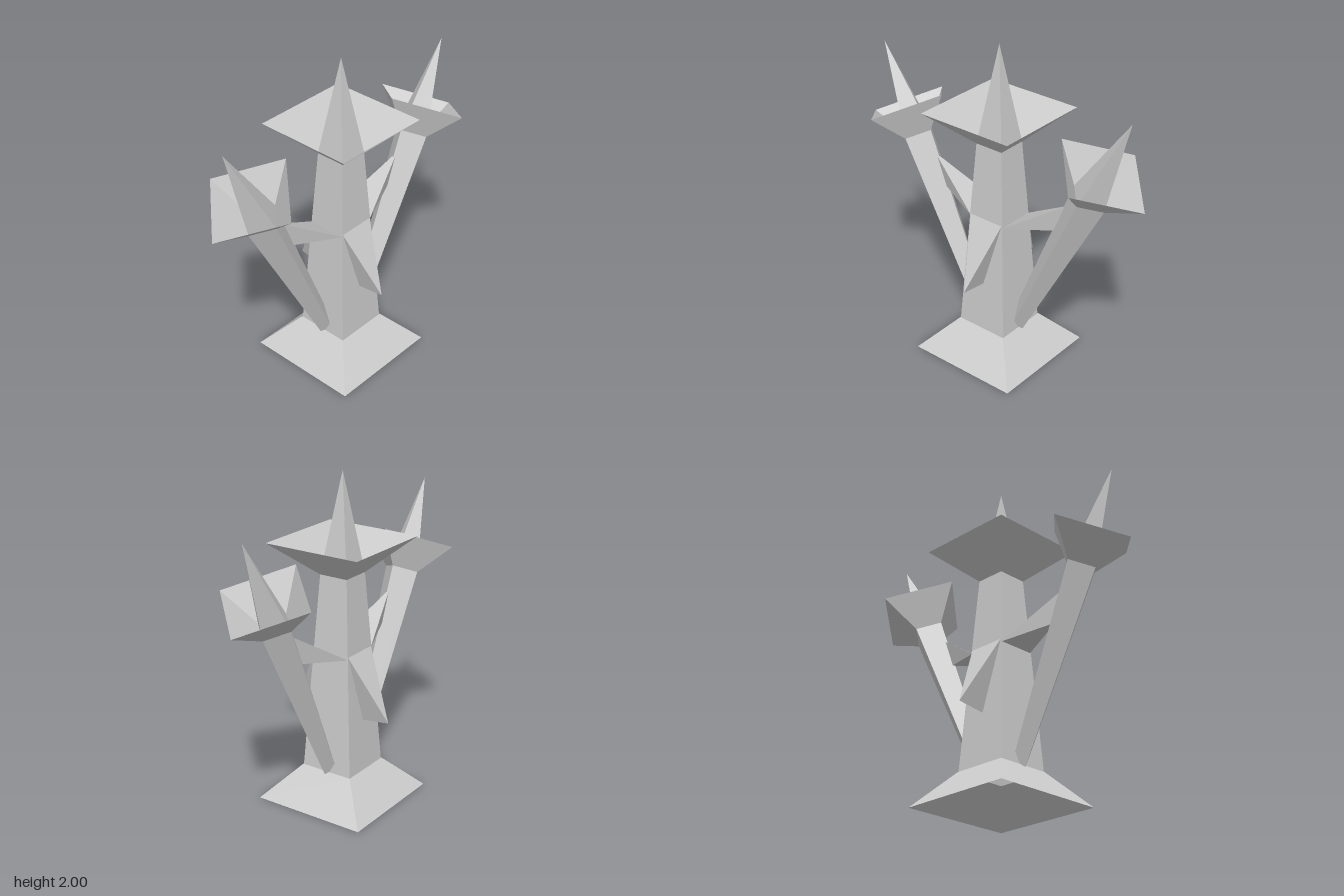
import * as THREE from 'three';

const stone = new THREE.MeshStandardMaterial({ color: 0xcccccc, side: THREE.DoubleSide });
stone.name = 'pale stone grey';

// Faceted mesh with hard edges
function faceted(name, geometry) {
  const flat = geometry.index ? geometry.toNonIndexed() : geometry;
  flat.computeVertexNormals();
  const mesh = new THREE.Mesh(flat, stone);
  mesh.name = name;
  return mesh;
}

// Open four-sided tube; radii are measured to the corners
function frustum(name, rBottom, rTop, y0, y1, turn = 0) {
  const g = new THREE.CylinderGeometry(rTop, rBottom, y1 - y0, 4, 1, true);
  g.rotateY(turn);
  g.translate(0, (y0 + y1) / 2, 0);
  return faceted(name, g);
}

// Thin four-cornered web: wide edge a-b, ridge c-d
function web(name, a, b, c, d) {
  const g = new THREE.BufferGeometry();
  const points = [a, c, b, a, b, d, a, d, c, b, c, d].flat();
  g.setAttribute('position', new THREE.Float32BufferAttribute(points, 3));
  return faceted(name, g);
}

// Branch leaning towards +z, with its cup, spike and web
function createBranch() {
  const branch = new THREE.Group();
  const arm = new THREE.Group();
  arm.name = 'arm';
  arm.add(
    frustum('armShaft', 0.053, 0.113, 0, 1.16),
    frustum('armCup', 0.113, 0.307, 1.16, 1.35),
    frustum('armSpike', 0.113, 0, 1.16, 1.743)
  );
  arm.position.set(0, 0.213, 0.137);
  arm.rotation.x = THREE.MathUtils.degToRad(25.3);
  branch.add(arm);
  branch.add(web('armWeb', [-0.118, 0.927, 0.115], [0.118, 0.927, 0.115], [0, 1.17, 0.5], [0, 0.98, 0.43]));
  return branch;
}

export function createModel() {
  const model = new THREE.Group();
  model.name = 'spikedTower';
  const q = Math.PI / 4;
  const d = Math.SQRT2;

  // Central tower
  model.add(
    frustum('base', 0.36 * d, 0.17 * d, 0, 0.205, q),
    frustum('towerShaft', 0.168 * d, 0.092 * d, 0.2, 1.4, q),
    frustum('towerCup', 0.092 * d, 0.31 * d, 1.4, 1.6, q),
    frustum('towerSpike', 0.092 * d, 0, 1.4, 2, q)
  );

  // Front and back branches, left and right fins
  for (const s of [1, -1]) {
    const branch = createBranch();
    branch.name = s > 0 ? 'frontBranch' : 'backBranch';
    branch.rotation.y = s > 0 ? 0 : Math.PI;
    model.add(branch);

    const fin = web('fin', [0.12, 0.945, 0.117], [0.12, 0.945, -0.117], [0.325, 0.54, 0], [0.145, 0.517, 0]);
    fin.name = s > 0 ? 'leftFin' : 'rightFin';
    fin.rotation.y = s > 0 ? 0 : Math.PI;
    model.add(fin);
  }
  return model;
}
